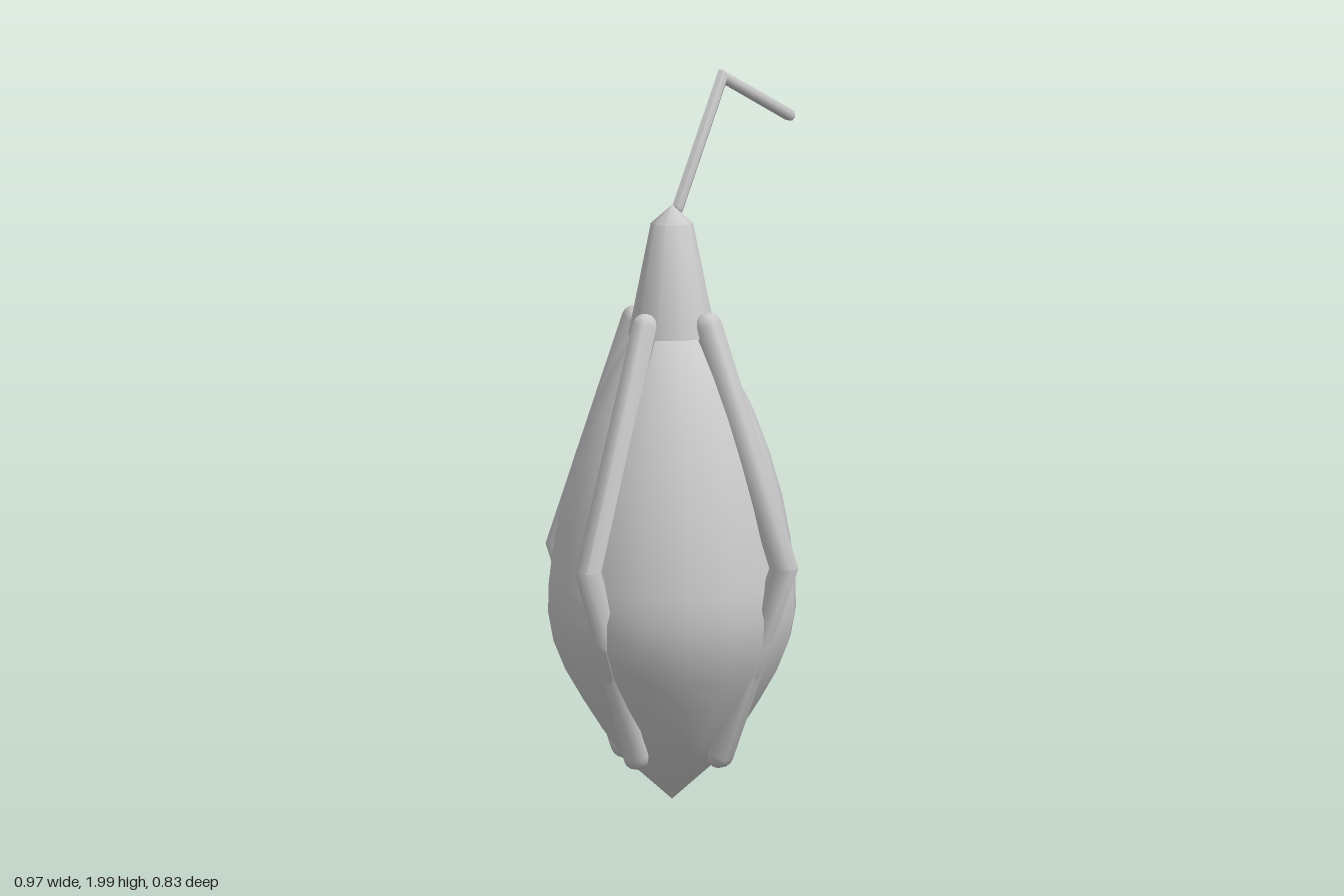
import * as THREE from 'three';
import { mergeVertices, toCreasedNormals } from 'three/addons/utils/BufferGeometryUtils.js';

const AXIS_X = -0.068;

// Lathe around the vertical axis from [radius, height] pairs, bottom to top
function lathe(profile, sides) {
  return new THREE.LatheGeometry(profile.map(([r, y]) => new THREE.Vector2(r, y)), sides);
}

// Round-ended rod with one mitred bend, lying in the plane of z (outward) and y.
// A straight capsule is bent: its top half follows a-knee, its bottom half knee-b.
function bentRod(a, knee, b, radius) {
  const [A, K, B] = [a, knee, b].map(([out, y]) => new THREE.Vector3(0, y, out));
  const d1 = A.clone().sub(K).normalize();
  const d2 = K.clone().sub(B).normalize();
  const n1 = new THREE.Vector3(0, -d1.z, d1.y);
  const n2 = new THREE.Vector3(0, -d2.z, d2.y);
  const mitre = n1.clone().add(n2).divideScalar(1 + n1.dot(n2));
  const geo = new THREE.CapsuleGeometry(radius, 2, 4, 6, 2);
  const pos = geo.attributes.position;
  const p = new THREE.Vector3();
  for (let i = 0; i < pos.count; i++) {
    const x = pos.getX(i), y = pos.getY(i), z = pos.getZ(i);
    if (y > 0.5) p.copy(A).addScaledVector(d1, y - 1).addScaledVector(n1, z);
    else if (y < -0.5) p.copy(B).addScaledVector(d2, y + 1).addScaledVector(n2, z);
    else p.copy(K).addScaledVector(mitre, z);
    pos.setXYZ(i, x, p.y, p.z);
  }
  geo.deleteAttribute('uv');
  geo.deleteAttribute('normal');
  return toCreasedNormals(mergeVertices(geo), 1.1);
}

export function createModel() {
  const group = new THREE.Group();
  const grey = new THREE.MeshStandardMaterial({ color: 0xcccccc });
  grey.name = 'light grey';

  function add(name, geometry, x = 0, turn = 0) {
    const mesh = new THREE.Mesh(geometry, grey);
    mesh.name = name;
    mesh.position.x = x;
    mesh.rotation.y = turn;
    group.add(mesh);
  }

  // Teardrop body with a pointed base
  add('body', lathe([
    [0, 0.005], [0.125, 0.115], [0.19, 0.2], [0.245, 0.285], [0.295, 0.37], [0.328, 0.45],
    [0.343, 0.53], [0.341, 0.61], [0.328, 0.72], [0.305, 0.84], [0.27, 0.96],
    [0.225, 1.08], [0.17, 1.19], [0.115, 1.275], [0.07, 1.32], [0, 1.345],
  ], 16), AXIS_X);

  // Tapered neck with a shallow conical top
  add('neck', toCreasedNormals(lathe([[0, 1.29], [0.12, 1.29], [0.058, 1.6], [0, 1.65]], 10), 0.7), AXIS_X);

  // Four ribs that arch over the body and sink into it
  const rib = bentRod([0.125, 1.325], [0.382, 0.677], [0.163, 0.142], 0.038);
  ['frontRib', 'leftRib', 'backRib', 'rightRib'].forEach((name, i) => add(name, rib, AXIS_X, i * Math.PI / 2));

  // Bent stem on top, leaning to the left
  add('stem', bentRod([0.47, 1.832], [0.163, 1.977], [-0.042, 1.638], 0.017), 0, Math.PI / 2);

  return group;
}
